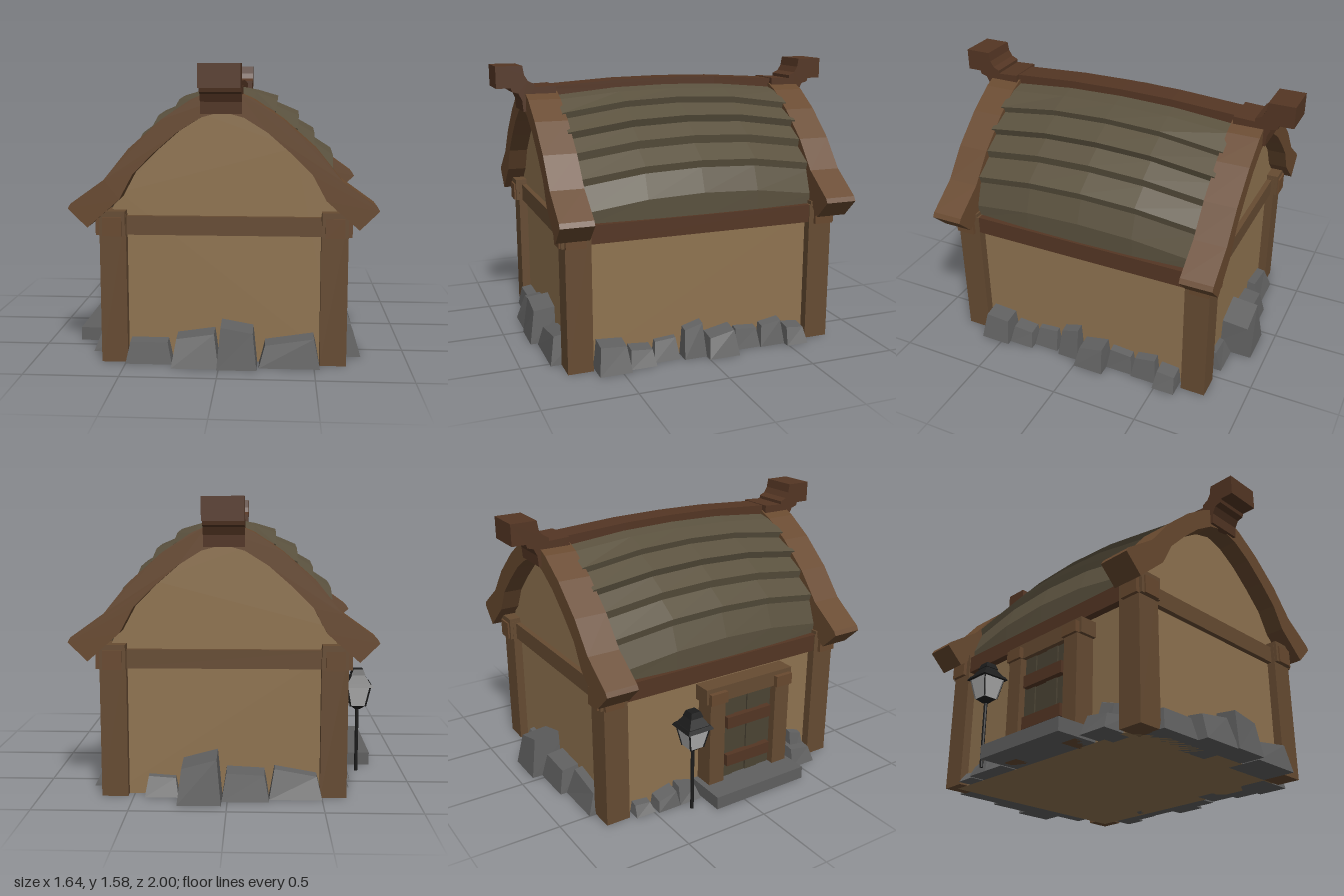
import * as THREE from 'three';

const CX = 0.02; // centre line of the house
const mat = (color, side = THREE.FrontSide) => new THREE.MeshStandardMaterial({ color, flatShading: true, side });
const M = {
  wall: mat(0x8f7350), post: mat(0x664b32), arch: mat(0x68492f), ridge: mat(0x543624),
  roof: mat(0x5b523f, THREE.DoubleSide), rock: mat(0x606060), door: mat(0x4b4434),
  iron: mat(0x1c1c1c), glass: mat(0xb4b4b4),
};

let seed = 7;
const rand = () => ((seed = (seed * 16807) % 2147483647) / 2147483647);

function add(parent, name, geo, material) {
  const mesh = new THREE.Mesh(geo, material);
  mesh.name = name;
  parent.add(mesh);
  return mesh;
}

// Box given by its limits on each axis
function box(parent, name, material, x0, x1, y0, y1, z0, z1) {
  const mesh = add(parent, name, new THREE.BoxGeometry(x1 - x0, y1 - y0, z1 - z0), material);
  mesh.position.set((x0 + x1) / 2, (y0 + y1) / 2, (z0 + z1) / 2);
  return mesh;
}

const extrude = (pts, depth) => new THREE.ExtrudeGeometry(
  new THREE.Shape(pts.map(([x, y]) => new THREE.Vector2(x, y))), { depth, bevelEnabled: false });

// Extrudes a (z, y) profile across x
function extrudeAcross(pts, x0, x1) {
  return extrude(pts, x1 - x0).rotateY(-Math.PI / 2).translate(x1, 0, 0);
}

// Right half to full outline, running from right to left
const mirrored = (half) => [...half, ...half.filter(p => p[0] > 0).reverse().map(([x, y]) => [-x, y])];

// Four-sided block that changes width with height
function frustum(rTop, rBottom, h) {
  return new THREE.CylinderGeometry(rTop * Math.SQRT2, rBottom * Math.SQRT2, h, 4).rotateY(Math.PI / 4);
}

// Row of rough stones: [start, end, height at start, height at end, depth]
function stones(parent, name, list, angle, x, z) {
  const g = new THREE.Group();
  g.name = name;
  for (const [u0, u1, h0, h1, d] of list) {
    const geo = new THREE.BoxGeometry(1, 1, 1);
    const p = geo.attributes.position;
    const inset = (u1 - u0) * 0.1, lean = 0.02 + rand() * 0.03;
    for (let i = 0; i < p.count; i++) {
      const right = p.getX(i) > 0, top = p.getY(i) > 0, out = p.getZ(i) > 0;
      const s = top ? inset : 0;
      p.setXYZ(i, right ? u1 - s : u0 + s,
        top ? (right ? h1 : h0) + (out ? -0.015 : 0.01) : 0,
        out ? d - (top ? lean : 0) : -0.06);
    }
    add(g, 'stone', geo, M.rock);
  }
  g.rotation.y = angle;
  g.position.set(x, 0, z);
  parent.add(g);
}

// Stepped shingle roof, bulging towards the middle of its length
function roofGeometry() {
  const half = [[0.63, 0.78], [0.635, 0.92], [0.585, 1.05], [0.595, 1.09], [0.48, 1.165], [0.49, 1.21],
    [0.385, 1.27], [0.4, 1.31], [0.27, 1.365], [0.28, 1.4], [0.16, 1.435], [0, 1.465]];
  const profile = mirrored(half);
  const stations = [[-0.68, 1], [-0.32, 0.2], [0, 0], [0.32, 0.2], [0.68, 1]];
  const pos = [], idx = [], n = profile.length;
  for (const [z, k] of stations)
    for (const [x, y] of profile) {
      const drop = y < 0.8 ? 0 : y > 1.42 ? 0.04 : 0.065;
      pos.push(CX + x * (1 - 0.04 * k), y - drop * k, z);
    }
  for (let s = 0; s < stations.length - 1; s++)
    for (let i = 0; i < n - 1; i++) {
      const a = s * n + i, b = a + 1, c = a + n, d = c + 1;
      idx.push(a, c, b, b, c, d);
    }
  const geo = new THREE.BufferGeometry();
  geo.setAttribute('position', new THREE.Float32BufferAttribute(pos, 3));
  geo.setIndex(idx);
  const flat = geo.toNonIndexed();
  flat.computeVertexNormals();
  return flat;
}

export function createModel() {
  const model = new THREE.Group();
  model.name = 'cottage';

  // Walls with rounded gables
  const inner = [[0.7, 0.74], [0.53, 0.89], [0.46, 1.02], [0.35, 1.13], [0.23, 1.235], [0.11, 1.31], [0, 1.34]];
  const outer = [[0.8, 0.84], [0.785, 0.865], [0.61, 0.99], [0.48, 1.15], [0.31, 1.3], [0.16, 1.4], [0.08, 1.435], [0, 1.44]];
  const gable = mirrored([[0.6, 0], [0.6, 0.8], ...inner.slice(1).map(([x, y]) => [x + (x > 0 ? 0.02 : 0), y + 0.02])]);
  add(model, 'walls', extrude(gable, 1.46), M.wall).position.set(CX, 0, -0.73);

  // Roof, end arches and ridge
  add(model, 'roof', roofGeometry(), M.roof);
  const arch = [...mirrored(outer), ...mirrored(inner).reverse()];
  for (const z of [0.66, -0.84])
    add(model, 'gableArch', extrude(arch, 0.18), M.arch).position.set(CX, 0, z);
  const ridgeTop = [[-0.8, 1.455], [-0.66, 1.465], [-0.3, 1.487], [0, 1.492], [0.3, 1.487], [0.66, 1.465], [0.8, 1.455]];
  const ridge = [...ridgeTop.map(([z, y]) => [z, y - 0.07]), ...ridgeTop.slice().reverse()];
  add(model, 'ridgeBeam', extrudeAcross(ridge, -0.055, 0.092), M.ridge);
  const finial = [[0.67, 1.41], [0.83, 1.33], [0.855, 1.33], [0.86, 1.39], [0.88, 1.43], [0.915, 1.44], [0.92, 1.46],
    [1, 1.46], [1, 1.58], [0.853, 1.58], [0.845, 1.53], [0.825, 1.497], [0.79, 1.48], [0.79, 1.462], [0.67, 1.468]];
  for (const s of [1, -1]) {
    const pts = finial.map(([z, y]) => [z * s, y]);
    add(model, 'ridgeEnd', extrudeAcross(s > 0 ? pts : pts.reverse(), -0.09, 0.12), M.ridge);
  }

  // Corner posts with caps, and the beams joining them
  for (const sx of [1, -1]) {
    for (const sz of [1, -1]) {
      const post = new THREE.Group();
      post.name = 'cornerPost';
      box(post, 'post', M.post, -0.07, 0.07, 0, 0.8, -0.07, 0.07);
      box(post, 'cap', M.post, -0.068, 0.068, 0.69, 0.82, -0.06, 0.088);
      box(post, 'beamEnd', M.arch, -0.05, 0.05, 0.69, 0.79, 0, 0.098);
      box(post, 'sideBeamEnd', M.arch, sx > 0 ? 0 : -0.09, sx > 0 ? 0.09 : 0, 0.69, 0.79, -0.04, 0.07);
      if (sz < 0) {
        post.children.forEach(c => { c.position.z *= -1; });
      }
      post.position.set(CX + sx * 0.58, 0, sz * 0.71);
      model.add(post);
    }
    box(model, 'sideBeam', M.ridge, CX + sx * 0.6 - 0.045, CX + sx * 0.6 + 0.045, 0.7, 0.8, -0.66, 0.66);
    box(model, 'gableBeam', M.post, CX - 0.6, CX + 0.6, 0.69, 0.79, sx * 0.72 - 0.04, sx * 0.72 + 0.04);
  }

  // Stone footing on each side
  stones(model, 'frontStones', [[-0.5, -0.25, 0.13, 0.13, 0.11], [-0.25, 0, 0.16, 0.19, 0.17],
    [-0.01, 0.2, 0.235, 0.205, 0.18], [0.21, 0.53, 0.13, 0.17, 0.14]], 0, 0, 0.7);
  stones(model, 'backStones', [[-0.44, -0.26, 0.12, 0.11, 0.1], [-0.26, -0.03, 0.2, 0.25, 0.22],
    [-0.03, 0.22, 0.16, 0.15, 0.16], [0.22, 0.5, 0.17, 0.13, 0.12]], Math.PI, 0, -0.7);
  stones(model, 'leftStones', [[-0.63, -0.45, 0.16, 0.15, 0.16], [-0.45, -0.3, 0.11, 0.1, 0.13],
    [-0.3, -0.15, 0.12, 0.13, 0.09], [-0.13, 0, 0.17, 0.2, 0.11], [0, 0.18, 0.12, 0.15, 0.16],
    [0.18, 0.34, 0.13, 0.12, 0.09], [0.34, 0.49, 0.13, 0.15, 0.1], [0.49, 0.62, 0.11, 0.1, 0.14]], Math.PI / 2, 0.6, 0);
  stones(model, 'rightStones', [[-0.61, -0.49, 0.07, 0.06, 0.08], [-0.48, -0.34, 0.07, 0.1, 0.1],
    [-0.34, -0.2, 0.11, 0.08, 0.1], [0.45, 0.62, 0.12, 0.1, 0.13], [0.49, 0.6, 0.2, 0.17, 0.08]], -Math.PI / 2, -0.58, 0);

  // Doorway with its step
  const door = new THREE.Group();
  door.name = 'doorway';
  box(door, 'step', M.rock, -0.825, -0.56, 0, 0.075, -0.19, 0.425);
  for (let i = 0; i < 4; i++)
    box(door, 'plank', M.door, -0.66 + (i % 2) * 0.006, -0.57, 0.075, 0.6, -0.05 + i * 0.0875, 0.034 + i * 0.0875);
  for (const y of [0.19, 0.43])
    box(door, 'batten', M.ridge, -0.69, -0.64, y - 0.035, y + 0.035, -0.03, 0.275);
  for (const z of [-0.105, 0.35]) {
    box(door, 'doorPost', M.post, -0.695, -0.57, 0, 0.62, z - 0.05, z + 0.05);
    box(door, 'postCap', M.arch, -0.712, -0.6, 0.58, 0.645, z - 0.055, z + 0.055);
  }
  box(door, 'lintel', M.post, -0.685, -0.57, 0.58, 0.67, -0.175, 0.42);
  model.add(door);

  // Lamp beside the door
  const lamp = new THREE.Group();
  lamp.name = 'lamp';
  const tier = (name, rTop, rBottom, y0, y1, m) => {
    add(lamp, name, frustum(rTop, rBottom, y1 - y0), m).position.y = (y0 + y1) / 2;
  };
  add(lamp, 'lampPost', new THREE.CylinderGeometry(0.01, 0.01, 0.38, 8), M.iron).position.y = 0.19;
  tier('lampBase', 0.04, 0.012, 0.37, 0.395, M.iron);
  tier('lampGlass', 0.065, 0.042, 0.395, 0.51, M.glass);
  tier('lampBrim', 0.07, 0.082, 0.51, 0.53, M.iron);
  tier('lampRoof', 0.035, 0.065, 0.53, 0.575, M.iron);
  tier('lampCap', 0.028, 0.04, 0.575, 0.607, M.iron);
  for (const [sx, sz] of [[1, 1], [1, -1], [-1, 1], [-1, -1]]) {
    const a = new THREE.Vector3(sx * 0.042, 0.395, sz * 0.042), b = new THREE.Vector3(sx * 0.065, 0.51, sz * 0.065);
    add(lamp, 'lampBar', new THREE.TubeGeometry(new THREE.LineCurve3(a, b), 1, 0.005, 4), M.iron);
  }
  lamp.position.set(-0.735, 0, -0.3);
  model.add(lamp);

  return model;
}
